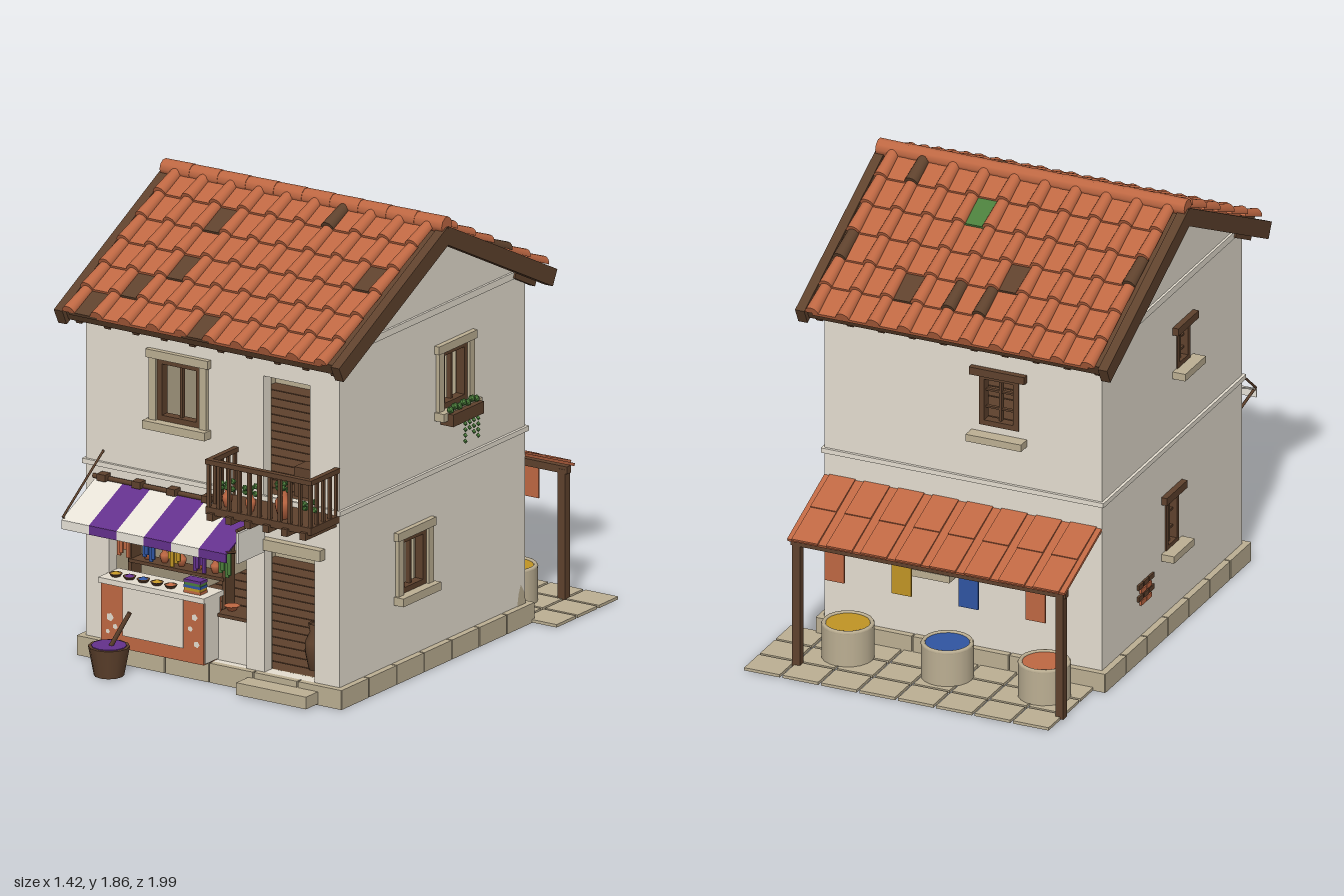
import * as THREE from 'three';

const mat = (name, color) => Object.assign(new THREE.MeshStandardMaterial({ color, side: THREE.DoubleSide }), { name });
const M = {
  plaster: mat('plaster', 0xe5ded0), stone: mat('stone', 0xbcaf93), clay: mat('terracotta', 0xbf6843),
  wood: mat('wood', 0x5f422d), dark: mat('shadow brown', 0x4a3022), purple: mat('purple dye', 0x64318c),
  yellow: mat('yellow dye', 0xc19525), blue: mat('blue dye', 0x3055a2), green: mat('green', 0x4c7f3c),
  cream: mat('cream cloth', 0xf0ebe0),
};
const CX = -0.03, CZ = 0.09; // centre of the house

function add(p, name, geo, m, x = 0, y = 0, z = 0) {
  const o = new THREE.Mesh(geo, m);
  o.name = name; o.position.set(x, y, z); p.add(o);
  return o;
}
const box = (p, name, m, w, h, d, x, y, z) => add(p, name, new THREE.BoxGeometry(w, h, d), m, x, y, z);
const cyl = (p, name, m, r1, r2, h, x, y, z, n = 14) => add(p, name, new THREE.CylinderGeometry(r1, r2, h, n), m, x, y, z);
function bar(p, name, m, a, b, r) {
  const A = new THREE.Vector3(...a), B = new THREE.Vector3(...b), d = B.clone().sub(A);
  const o = cyl(p, name, m, r, r, d.length(), 0, 0, 0, 6);
  o.position.copy(A).add(B).multiplyScalar(0.5);
  o.quaternion.setFromUnitVectors(new THREE.Vector3(0, 1, 0), d.normalize());
}
function group(p, name, x = 0, y = 0, z = 0) {
  const g = new THREE.Group(); g.name = name; g.position.set(x, y, z); p.add(g);
  return g;
}
function jar(p, name, m, x, y, z, h, fat = 1) {
  const pts = [[0, 0], [.16, 0], [.28, .4], [.27, .6], [.13, .82], [.18, 1], [.1, .98]].map(a => new THREE.Vector2(a[0] * h * fat, a[1] * h));
  add(p, name, new THREE.LatheGeometry(pts, 12), m, x, y, z);
}
function leaves(p, x, y, z) {
  for (let i = 0; i < 6; i++) {
    const a = i * 1.05;
    add(p, 'leaf', new THREE.IcosahedronGeometry(.014, 0), M.green, x + Math.cos(a) * .024, y + .012 * (i % 3), z + Math.sin(a) * .024);
  }
}

// One wall in its own frame: u across, y up, outside facing +z
function wall(p, name, hw, gable, holes) {
  const make = inset => {
    const w = hw - inset, s = new THREE.Shape([[-w, .02], [w, .02], [w, 1.43]].map(a => new THREE.Vector2(...a)));
    if (gable) s.lineTo(0, 1.75);
    s.lineTo(-w, 1.43);
    holes.forEach(([u0, u1, y0, y1]) => s.holes.push(new THREE.Path(
      [[u0, y0], [u0, y1], [u1, y1], [u1, y0]].map(a => new THREE.Vector2(...a)))));
    return s;
  };
  const ext = (s, depth) => new THREE.ExtrudeGeometry(s, { depth, bevelEnabled: false });
  add(p, name, ext(make(gable ? 0 : .05), .05), M.plaster, 0, 0, -.05);
  add(p, 'wallLining', ext(make(.05), .005), M.stone, 0, 0, -.0555);
  box(p, 'beltCourse', M.plaster, hw * 2 + .02, .02, .012, 0, .8, .006);
  if (gable) box(p, 'gableBand', M.plaster, hw * 2 - .04, .028, .01, 0, 1.455, .005);
  // plinth blocks
  const n = Math.round(hw * 2 / .2), span = hw * 2 + .054, w = span / n;
  for (let i = 0; i < n; i++) box(p, 'plinthBlock', M.stone, w - .006, .08, .06, -span / 2 + w * (i + .5), .04, -.003);
}

function woodFrame(g, w, h, t, rows) {
  for (const s of [-1, 1]) {
    box(g, 'frameStile', M.wood, t, h, .04, s * (w - t) / 2, 0, -.015);
    box(g, 'frameRail', M.wood, w, t, .04, 0, s * (h - t) / 2, -.015);
  }
  box(g, 'mullion', M.wood, .012, h, .02, 0, 0, -.02);
  for (let i = 1; i < rows; i++) box(g, 'glazingBar', M.wood, w, .008, .015, 0, h * (i / rows - .5), -.02);
}
// Large window with a stone surround
function stoneWindow(p, u, y, w, h) {
  const g = group(p, 'stoneWindow', u, y, 0);
  woodFrame(g, w, h, .022, 1);
  for (const s of [-1, 1]) {
    box(g, 'jamb', M.stone, .034, h, .03, s * (w / 2 + .017), 0, .002);
    box(g, s > 0 ? 'lintel' : 'sill', M.stone, w + .09, .034, s > 0 ? .04 : .06, 0, s * (h / 2 + .017), s > 0 ? .002 : .015);
  }
}
// Small window with a timber lintel and stone sill
function smallWindow(p, u, y, w, h, lintel, sill) {
  const g = group(p, 'smallWindow', u, y, 0);
  woodFrame(g, w, h, .022, 3);
  box(g, 'woodLintel', M.wood, w + .07, .032, .05, 0, lintel - y, .0);
  box(g, 'stoneSill', M.stone, w + .07, .03, .08, 0, sill - y, .015);
}

function buildRoof(root) {
  const a = Math.atan(.5), L = .1425;
  const odd = { f: { c06: 1, p12: 1, p28: 1, p32: 1, p41: 1, p50: 1, p54: 1 }, b: { c44: 1, c45: 1, p46: 1, p33: 1, c39: 1, c20: 1, p15: 2, c08: 1 } };
  const tone = (s, k) => [M.clay, M.wood, M.green][odd[s > 0 ? 'f' : 'b'][k] || 0];
  for (const s of [1, -1]) {
    const g = group(root, s > 0 ? 'frontRoofSlope' : 'backRoofSlope', CX, 1.81, CZ);
    g.rotation.x = s * a;
    box(g, 'roofDeck', M.wood, 1.27, .05, .83, 0, -.025, s * .415);
    for (const e of [-1, 1]) box(g, 'bargeBoard', M.wood, .04, .07, .85, e * .655, -.025, s * .425);
    const cover = new THREE.CylinderGeometry(s > 0 ? .029 : .024, s > 0 ? .024 : .029, L + .01, 8, 1, false, Math.PI / 2, Math.PI).rotateX(Math.PI / 2);
    const pan = new THREE.BoxGeometry(.1325, .014, L + .008);
    for (let r = 0; r < 6; r++) for (let i = 0; i < 10; i++) {
      const x = (i - 4.5) * .1325, z = s * (r + .5) * L;
      add(g, 'coverTile', cover, tone(s, `c${r}${i}`), x, .017, z).rotation.x = -s * .07;
      if (i < 9) add(g, 'panTile', pan, tone(s, `p${r}${i}`), x + .066, .011, z).rotation.x = -s * .07;
    }
    for (let i = 0; i < 10; i++) box(g, 'rafterEnd', M.wood, .028, .03, .16, (i - 4.5) * .134, -.063, s * .735);
  }
  for (let i = 0; i < 10; i++) {
    const t = cyl(root, 'ridgeTile', M.clay, .034, .036, .139, CX + (i - 4.5) * .133, 1.823, CZ, 10);
    t.rotation.z = Math.PI / 2;
  }
}

function buildBalcony(root) {
  const g = group(root, 'balcony', .32, 0, 0);
  box(g, 'balconyFloor', M.wood, .5, .03, .2, 0, .775, .84);
  for (let i = 0; i < 6; i++) box(g, 'balconyJoist', M.wood, .028, .03, .22, -.22 + i * .088, .755, .845);
  box(g, 'frontRail', M.wood, .5, .02, .024, 0, .975, .93);
  for (let i = 0; i <= 10; i++) box(g, 'baluster', M.wood, .014, .18, .014, -.24 + i * .048, .88, .93);
  for (const s of [-1, 1]) {
    box(g, 'sideRail', M.wood, .022, .02, .2, s * .24, .975, .84);
    for (let i = 0; i < 4; i++) box(g, 'baluster', M.wood, .012, .18, .012, s * .24, .88, .75 + i * .045);
  }
  [[-.18, .075], [-.07, .075], [.085, .12]].forEach(([x, h]) => {
    jar(g, 'flowerPot', M.clay, x, .79, .89, h);
    leaves(g, x, .79 + h, .89);
  });
  leaves(g, .21, .85, .89);
  // stool just inside the balcony door
  box(root, 'stool', M.wood, .11, .12, .09, .345, .855, .6);
}

function buildShop(root) {
  // striped awning
  const aw = group(root, 'awning');
  const tilt = Math.atan2(.115, .25);
  for (let i = 0; i < 6; i++) {
    const x = -.51 + i * .13, m = i % 2 ? M.purple : M.cream;
    box(aw, 'awningStripe', m, .13, .006, .275, x, .687, .868).rotation.x = tilt;
    box(aw, 'awningValance', m, .13, .036, .005, x, .613, .992);
  }
  bar(aw, 'awningRod', M.wood, [-.585, .75, .755], [.23, .75, .755], .01);
  for (let i = 0; i < 5; i++) box(aw, 'awningBlock', M.wood, .04, .028, .04, -.53 + i * .165, .757, .765);
  for (const x of [-.57, .2]) bar(aw, 'awningArm', M.wood, [x, .58, .745], [x, .635, .985], .006);
  bar(aw, 'awningStay', M.wood, [-.54, .86, .75], [-.575, .64, .985], .005);
  // hanging sign
  box(root, 'signBoard', M.cream, .012, .125, .185, .225, .647, .855);
  bar(root, 'signPole', M.wood, [.225, .72, .74], [.225, .72, .95], .008);
  // dyed cloths, each folded in narrow strips
  [M.clay, M.blue, M.yellow, M.purple, M.green].forEach((m, i) => {
    for (let k = 0; k < 4; k++) {
      const h = .15 - .014 * ((k + i) % 3);
      box(root, 'dyedCloth', m, .016, h, .008, -.452 + i * .12 + k * .0155, .6 - h / 2, .77 + .008 * (k % 2));
    }
  });
  // counter and its goods
  const c = group(root, 'counter', -.272, 0, 0);
  box(c, 'counterBody', M.clay, .485, .26, .12, 0, .21, .745);
  box(c, 'counterPlaster', M.plaster, .285, .2, .006, .005, .235, .807);
  for (const [x, y, r] of [[-.2, .2, .018], [-.175, .165, .012], [-.21, .14, .01], [.2, .27, .015], [.18, .22, .012], [.21, .16, .014]])
    add(c, 'plasterChip', new THREE.CircleGeometry(r, 5), M.plaster, x, y, .8065);
  box(c, 'counterSide', M.plaster, .006, .25, .1, .245, .21, .75);
  box(c, 'counterTop', M.plaster, .5, .022, .14, 0, .347, .745);
  [M.yellow, M.purple, M.blue, M.yellow, M.clay].forEach((m, i) => {
    cyl(c, 'bowl', M.wood, .027, .018, .012, -.2 + i * .065, .364, .765);
    cyl(c, 'pigment', m, .004, .022, .01, -.2 + i * .065, .373, .765);
  });
  [M.clay, M.yellow, M.blue, M.green, M.purple].forEach((m, i) => box(c, 'foldedCloth', m, .08 - .004 * (i % 2), .011, .05, .175, .364 + i * .011, .762));
  // shelves with jars
  const sh = group(root, 'shelves', -.272, 0, .6);
  for (const s of [-1, 1]) box(sh, 'shelfPost', M.wood, .016, .54, .07, s * .222, .35, 0);
  for (const y of [.385, .51]) {
    box(sh, 'shelfBoard', M.wood, .45, .014, .08, 0, y, 0);
    for (let i = 0; i < 5; i++) jar(sh, 'shelfJar', M.clay, -.16 + i * .08, y + .007, 0, .055, 1.3);
  }
  // bench, jugs, dye bucket
  box(root, 'bench', M.plaster, .16, .18, .12, .05, .17, .65);
  box(root, 'benchTop', M.wood, .17, .014, .13, .05, .265, .65);
  cyl(root, 'benchBowl', M.clay, .032, .015, .02, 0, .282, .65);
  jar(root, 'darkJug', M.wood, .355, .08, .6, .19, .7);
  jar(root, 'clayJug', M.clay, .405, .08, .5, .2, .65);
  cyl(root, 'dyeBucket', M.wood, .083, .06, .12, -.41, .06, .905, 12);
  cyl(root, 'bucketDye', M.purple, .07, .07, .006, -.41, .1205, .905, 12);
  bar(root, 'stirringStick', M.wood, [-.42, .08, .915], [-.335, .26, .87], .009);
}

function buildYard(root) {
  // paving
  for (let i = 0; i < 8; i++) for (let k = 0; k < 3; k++)
    box(root, 'pavingSlab', M.stone, .154, .012, .136, -.527 + i * .1662, .008, -.932 + k * .148);
  // lean-to roof
  const g = group(root, 'leanToRoof', CX, .69, -.56);
  g.rotation.x = -Math.atan2(.135, .35);
  box(g, 'leanToSheet', M.clay, 1.2, .012, .37, 0, 0, -.187);
  for (let i = 0; i < 8; i++) for (let k = 0; k < 2; k++)
    box(g, 'leanToTile', M.clay, .112, .01, .19, (i - 3.5) * .149, .008, -.095 - k * .187).rotation.x = .025;
  box(root, 'leanToBeam', M.wood, 1.19, .03, .03, CX, .543, -.875);
  for (const x of [-.6, .54]) box(root, 'leanToPost', M.wood, .034, .54, .034, x, .275, -.875);
  // vats and drying cloths
  [[.39, M.yellow], [-.04, M.blue], [-.46, M.clay]].forEach(([x, m]) => {
    cyl(root, 'dyeVat', M.stone, .105, .105, .14, x, .085, -.73, 20);
    cyl(root, 'vatDye', m, .088, .088, .006, x, .156, -.73, 20);
    const rim = add(root, 'vatRim', new THREE.TorusGeometry(.096, .01, 6, 20), M.stone, x, .156, -.73);
    rim.rotation.x = Math.PI / 2;
  });
  [M.clay, M.yellow, M.blue, M.clay].forEach((m, i) => box(root, 'dryingCloth', m, .085, .13, .006, .38 - i * .29, .465, -.875));
}

export function createModel() {
  const root = new THREE.Group(); root.name = 'dyerHouse';
  const side = (name, x, z, ry) => { const g = group(root, name, x, 0, z); g.rotation.y = ry; return g; };
  const front = side('frontSide', CX, .74, 0), back = side('backSide', CX, -.56, Math.PI);
  const right = side('flowerSide', .57, CZ, Math.PI / 2), left = side('plainSide', -.63, CZ, -Math.PI / 2);
  const hole = (u, y, w, h) => [u - w / 2, u + w / 2, y - h / 2, y + h / 2];

  wall(front, 'frontWall', .6, false, [hole(-.157, 1.158, .205, .255), [.24, .46, .8, 1.3], [-.49, .16, .08, .6], [.245, .48, .08, .6]]);
  stoneWindow(front, -.157, 1.158, .205, .255);
  box(front, 'doorLintel', M.stone, .3, .045, .04, .38, .617, .015);
  wall(back, 'backWall', .6, false, [hole(.155, 1.155, .17, .22), hole(-.15, .472, .16, .165)]);
  smallWindow(back, .155, 1.155, .17, .22, 1.278, 1.0);
  smallWindow(back, -.15, .472, .16, .165, .565, .37);
  wall(right, 'flowerWall', .65, true, [hole(.15, 1.155, .18, .24), hole(-.137, .466, .175, .23)]);
  stoneWindow(right, .15, 1.155, .18, .24);
  stoneWindow(right, -.137, .466, .175, .23);
  wall(left, 'plainWall', .65, true, [hole(.1, 1.175, .12, .165), hole(-.005, .455, .12, .22)]);
  smallWindow(left, .1, 1.175, .12, .165, 1.27, 1.08);
  smallWindow(left, -.005, .455, .12, .22, .58, .335);

  // flower box with trailing leaves
  box(right, 'flowerBox', M.wood, .215, .05, .06, .15, 1.005, .04);
  for (let i = 0; i < 7; i++) {
    add(right, 'leaf', new THREE.IcosahedronGeometry(.016, 0), M.green, .06 + i * .03, 1.042 + .008 * (i % 2), .045);
    if (i > 1 && i < 6) for (let k = 0; k < 2 + i % 3; k++)
      add(right, 'trailingLeaf', new THREE.OctahedronGeometry(.011), M.green, .06 + i * .03, .975 - k * .024, .075);
  }
  // bare stone and bricks where the plaster has fallen
  const patch = new THREE.Shape([[.59, .08], [.65, .08], [.64, .13], [.615, .165], [.6, .13]].map(a => new THREE.Vector2(...a)));
  add(right, 'bareStone', new THREE.ShapeGeometry(patch), M.stone, 0, 0, .003);
  for (let r = 0; r < 4; r++) for (let i = 0; i < 2 + r % 2; i++)
    box(left, 'exposedBrick', r % 2 ? M.wood : M.clay, .045, .02, .012, -.28 + i * .05 + (r % 2 ? -.025 : 0), .225 + r * .025, .003);

  // underside and plank floors
  box(root, 'underside', M.dark, 1.2, .05, 1.3, CX, .03, CZ);
  for (const y of [.07, .785]) {
    box(root, 'floorBase', M.dark, 1.1, .012, 1.2, CX, y - .008, CZ);
    for (let i = 0; i < 14; i++) box(root, 'floorPlank', M.wood, 1.1, .014, .079, CX, y + .003, CZ - .557 + i * .0857);
  }
  // worn plaster spots on the inner back wall
  [[.41, 1.13], [.315, .44], [.315, .235]].forEach(([x, y]) => add(root, 'plasterSpot', new THREE.CircleGeometry(.03, 16), M.plaster, x, y, -.5));
  // doorstep
  box(root, 'doorstep', M.stone, .33, .05, .09, .32, .03, .805);

  buildRoof(root);
  buildBalcony(root);
  buildShop(root);
  buildYard(root);
  return root;
}
